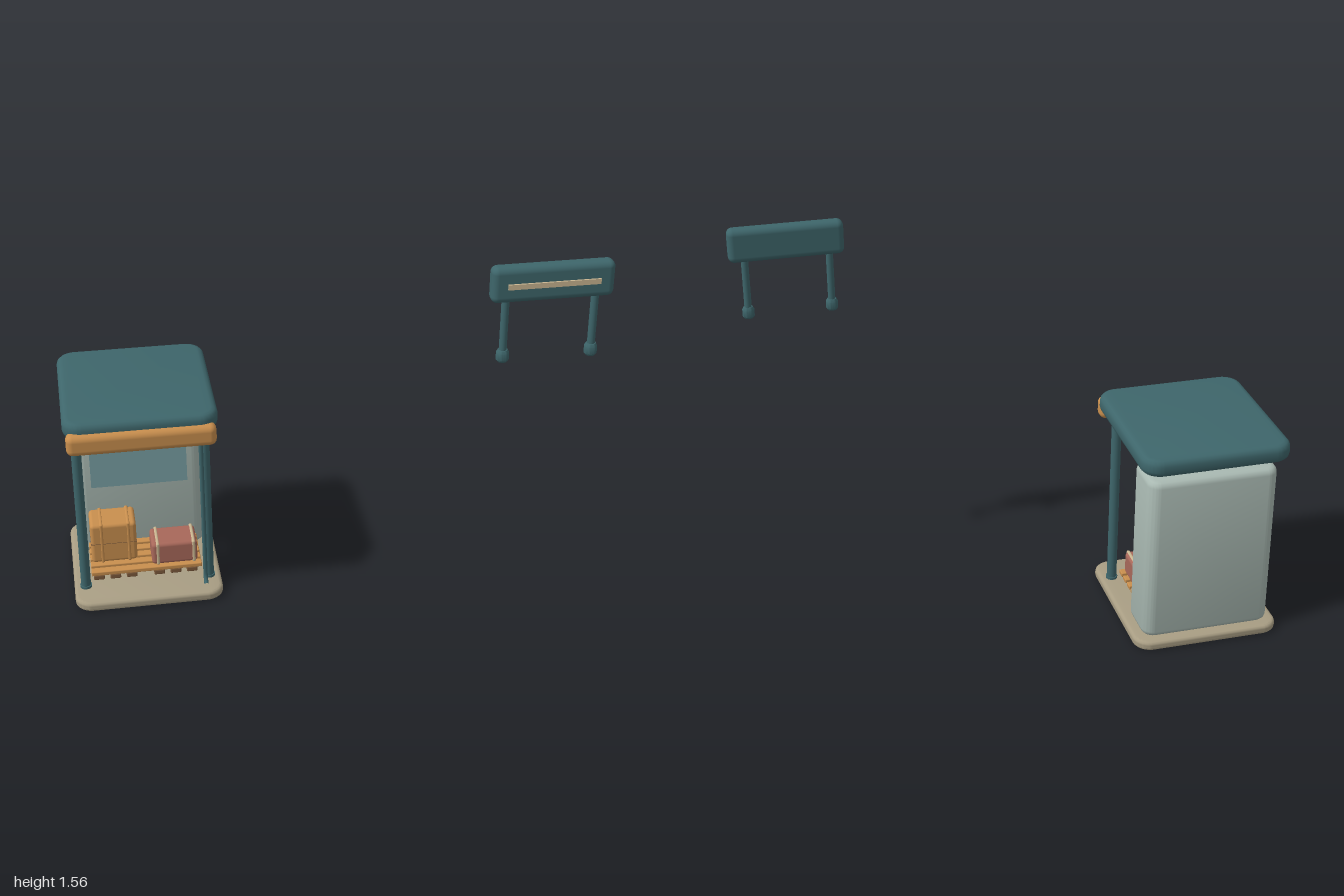
import * as THREE from 'three';
import { toCreasedNormals } from 'three/addons/utils/BufferGeometryUtils.js';
import { RoundedBoxGeometry } from 'three/addons/geometries/RoundedBoxGeometry.js';

const mat = (name, color) => {
  const m = new THREE.MeshStandardMaterial({ color });
  m.name = name;
  return m;
};

export function createModel() {
  const teal = mat('teal paint', 0x3e666b);
  const grey = mat('pale grey green', 0xa9b9b2);
  const stone = mat('stone', 0xa89d83);
  const orange = mat('warm orange', 0xc98f4e);
  const red = mat('brick red', 0xa8685a);
  const brown = mat('dark wood', 0x7d5a3c);
  const glass = mat('window blue', 0x7aa0a5);
  const cream = mat('cream', 0xc9b590);

  const model = new THREE.Group();
  model.name = 'parcelShelter';

  const add = (parent, name, geometry, material, x = 0, y = 0, z = 0) => {
    const mesh = new THREE.Mesh(geometry, material);
    mesh.name = name;
    mesh.position.set(x, y, z);
    parent.add(mesh);
    return mesh;
  };
  const group = (name) => {
    const g = new THREE.Group();
    g.name = name;
    model.add(g);
    return g;
  };

  // Box given by its limits, with optional rounded edges
  const box = (parent, name, material, [x0, x1], [y0, y1], [z0, z1], r = 0) => {
    const size = [x1 - x0, y1 - y0, z1 - z0];
    const geo = r ? new RoundedBoxGeometry(...size, 3, r) : new THREE.BoxGeometry(...size);
    return add(parent, name, geo, material, (x0 + x1) / 2, (y0 + y1) / 2, (z0 + z1) / 2);
  };

  // Slab with a rounded plan and softened top and bottom rims
  const slab = (parent, name, material, [x0, x1], [y0, y1], [z0, z1], radius, bevel) => {
    const w = (x1 - x0) / 2 - bevel, d = (z1 - z0) / 2 - bevel, r = radius - bevel;
    const s = new THREE.Shape();
    s.absarc(w - r, d - r, r, 0, Math.PI / 2);
    s.absarc(r - w, d - r, r, Math.PI / 2, Math.PI);
    s.absarc(r - w, r - d, r, Math.PI, Math.PI * 1.5);
    s.absarc(w - r, r - d, r, Math.PI * 1.5, Math.PI * 2);
    s.closePath();
    const geo = new THREE.ExtrudeGeometry(s, {
      depth: y1 - y0 - 2 * bevel, bevelThickness: bevel, bevelSize: bevel,
      bevelSegments: 3, curveSegments: 8,
    });
    geo.rotateX(-Math.PI / 2);
    return add(parent, name, toCreasedNormals(geo, 0.6), material,
      (x0 + x1) / 2, y0 + bevel, (z0 + z1) / 2);
  };

  const cylinder = (parent, name, material, r, x, [y0, y1], z) =>
    add(parent, name, new THREE.CylinderGeometry(r, r, y1 - y0, 20), material, x, (y0 + y1) / 2, z);

  // Shelter shell
  const shelter = group('shelter');
  slab(shelter, 'basePlatform', stone, [-1, -0.4], [0, 0.04], [-0.506, 0.128], 0.07, 0.015);
  slab(shelter, 'roof', teal, [-1, -0.4], [0.79, 0.862], [-0.516, 0.136], 0.075, 0.025);
  box(shelter, 'ceilingPanel', teal, [-0.96, -0.44], [0.784, 0.792], [-0.46, 0.1]);
  box(shelter, 'frontFascia', orange, [-0.99, -0.413], [0.737, 0.825], [0.093, 0.16], 0.026);
  slab(shelter, 'rearCabinet', grey, [-0.965, -0.438], [0.038, 0.74], [-0.47, -0.255], 0.05, 0.025);
  box(shelter, 'cabinetWindow', glass, [-0.9, -0.503], [0.356, 0.54], [-0.256, -0.247]);

  // Front posts with collars, and ceiling lamps
  for (const x of [-0.953, -0.449]) {
    cylinder(shelter, 'frontPost', teal, 0.02, x, [0.035, 0.795], -0.004);
    cylinder(shelter, 'postFoot', teal, 0.024, x, [0.036, 0.05], -0.004);
  }
  for (const x of [-0.88, -0.52]) {
    cylinder(shelter, 'ceilingLamp', cream, 0.03, x, [0.776, 0.786], -0.05);
  }

  // Drainpipe with a kicked-out foot
  const drain = new THREE.CurvePath();
  const p = (y, z) => new THREE.Vector3(-0.468, y, z);
  drain.add(new THREE.LineCurve3(p(0.79, 0.041), p(0.085, 0.041)));
  drain.add(new THREE.QuadraticBezierCurve3(p(0.085, 0.041), p(0.055, 0.041), p(0.042, 0.068)));
  add(shelter, 'drainpipe', new THREE.TubeGeometry(drain, 48, 0.009, 10), teal);

  // Pallet: boards across, runners front to back
  const pallet = group('pallet');
  for (let i = 0; i < 5; i++) {
    const z = -0.043 - i * 0.05;
    box(pallet, 'palletBoard', orange, [-0.927, -0.475], [0.069, 0.087], [z - 0.018, z + 0.018], 0.004);
  }
  for (const x of [-0.897, -0.83, -0.763, -0.65, -0.583, -0.516]) {
    box(pallet, 'palletRunner', brown, [x - 0.022, x + 0.022], [0.048, 0.07], [-0.258, -0.026], 0.005);
  }

  // Parcels with wrapped straps
  const parcel = (name, material, strap, [x0, x1], [y0, y1], [z0, z1], strapXs) => {
    const g = group(name);
    box(g, 'carton', material, [x0, x1], [y0, y1], [z0, z1], 0.015);
    const e = 0.0025;
    for (const x of strapXs) {
      box(g, 'strap', strap, [x - 0.007, x + 0.007], [y0, y1 + e], [z0 - e, z1 + e], 0.006);
    }
    return g;
  };
  const large = parcel('largeParcel', orange, orange, [-0.92, -0.733], [0.086, 0.266], [-0.233, -0.095], [-0.875, -0.765]);
  box(large, 'middleSeam', brown, [-0.9205, -0.7325], [0.175, 0.177], [-0.2335, -0.0945]);
  parcel('smallParcel', red, cream, [-0.677, -0.49], [0.086, 0.184], [-0.178, -0.042], [-0.652, -0.505]);

  // Raised sign on two short legs
  const sign = group('sign');
  box(sign, 'signBoard', teal, [0.545, 1], [1.42, 1.558], [0.446, 0.51], 0.025);
  box(sign, 'signStripe', cream, [0.602, 0.944], [1.478, 1.498], [0.509, 0.517]);
  const foot = [[0, 0], [0.018, 0], [0.024, 0.008], [0.024, 0.036], [0.018, 0.047], [0, 0.047]]
    .map(([x, y]) => new THREE.Vector2(x, y));
  for (const x of [0.604, 0.937]) {
    cylinder(sign, 'signLeg', teal, 0.0145, x, [1.2, 1.43], 0.478);
    add(sign, 'signFoot', toCreasedNormals(new THREE.LatheGeometry(foot, 20), 0.7), teal, x, 1.18, 0.478);
  }

  return model;
}
